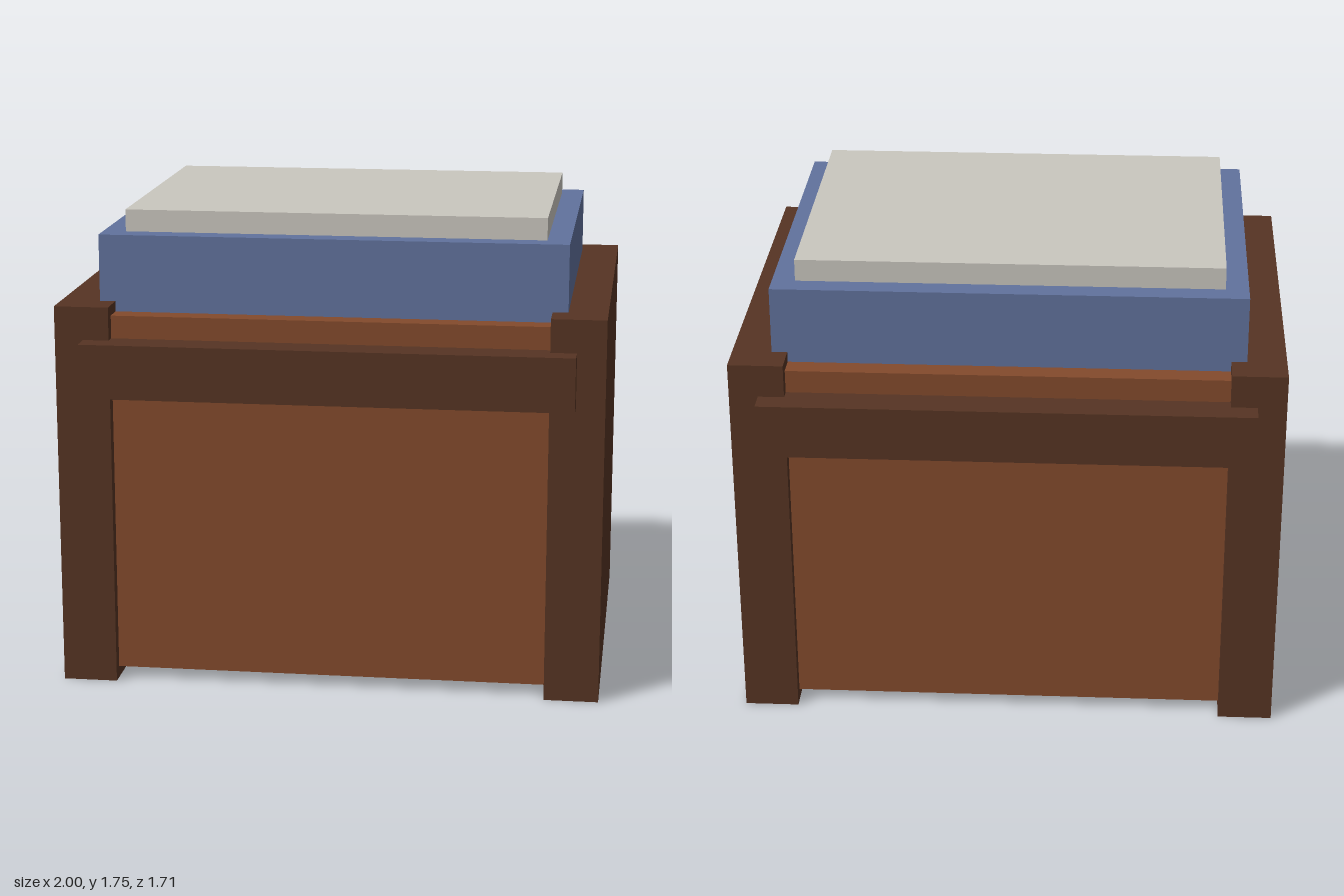
import * as THREE from 'three';

const material = (name, color) => {
  const m = new THREE.MeshStandardMaterial({ color });
  m.name = name;
  return m;
};

export function createModel() {
  const model = new THREE.Group();
  model.name = 'crate';

  const darkWood = material('darkWood', 0x563423);
  const redWood = material('redWood', 0x834a2c);
  const blueCloth = material('blueCloth', 0x61729d);
  const paleCloth = material('paleCloth', 0xcac7bf);

  // Box given by its width, depth, bottom and top heights, and centre
  const box = (name, mat, width, depth, y0, y1, x = 0, z = 0) => {
    const mesh = new THREE.Mesh(new THREE.BoxGeometry(width, y1 - y0, depth), mat);
    mesh.name = name;
    mesh.position.set(x, (y0 + y1) / 2, z);
    model.add(mesh);
  };

  // Main body, raised slightly off the ground
  box('body', redWood, 1.62, 1.464, 0.043, 1.39);

  // Thick side panels, and rails across the front and back
  for (const s of [1, -1]) {
    box(s > 0 ? 'leftPanel' : 'rightPanel', darkWood, 0.2, 1.55, 0, 1.428, s * 0.9);
    box(s > 0 ? 'frontRail' : 'backRail', darkWood, 1.79, 0.124, 1.106, 1.306, 0, s * 0.795);
  }

  // Folded layers stacked on top
  box('lowerLayer', blueCloth, 1.714, 1.306, 1.388, 1.674);
  box('upperLayer', paleCloth, 1.546, 1.142, 1.67, 1.755);

  return model;
}
